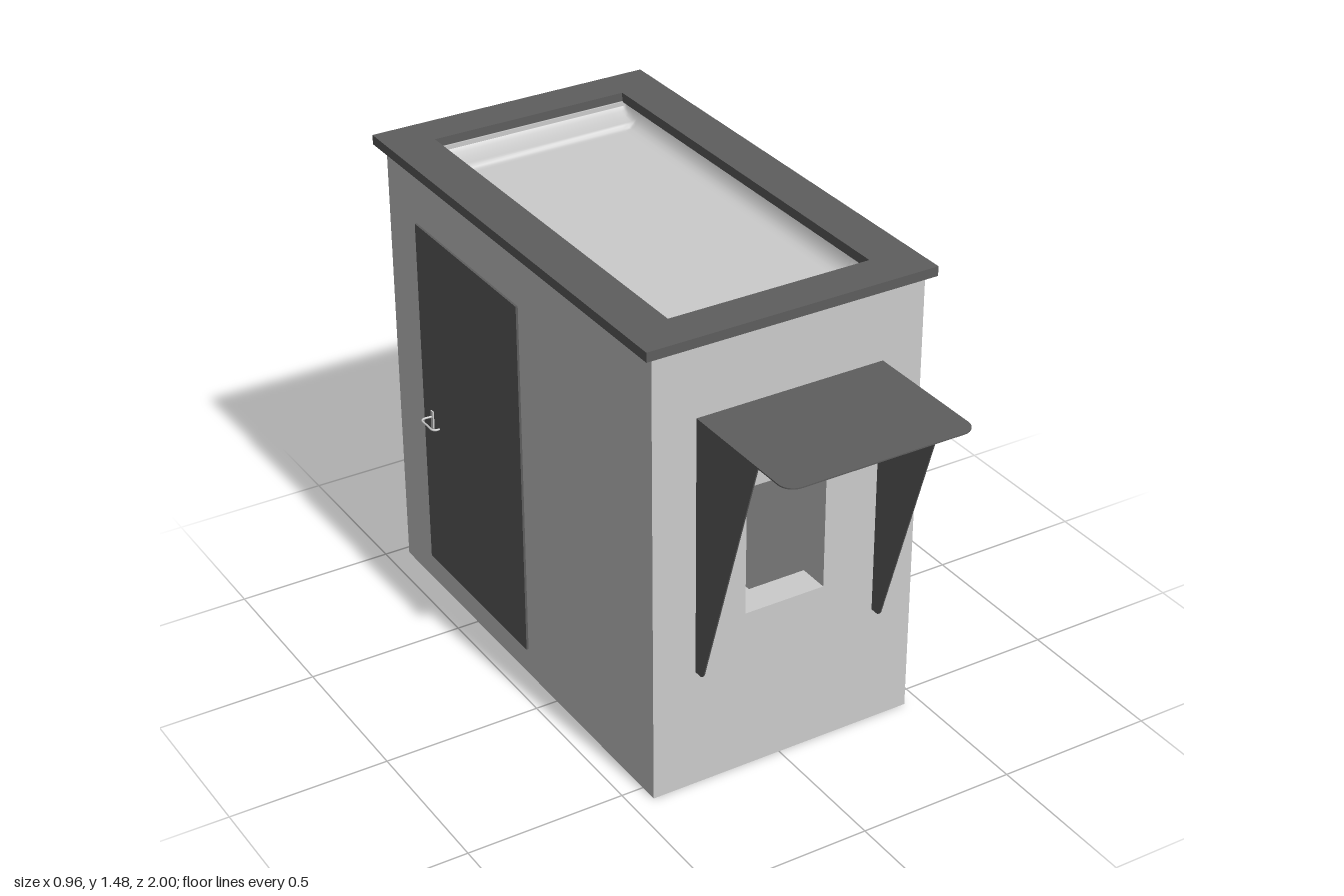
import * as THREE from 'three';

const grey = new THREE.MeshStandardMaterial({ color: 0xcccccc });
const dark = new THREE.MeshStandardMaterial({ color: 0x5e5e5e });
const greyThin = new THREE.MeshStandardMaterial({ color: 0xcccccc, side: THREE.DoubleSide });

function add(parent, name, geometry, material) {
  const mesh = new THREE.Mesh(geometry, material);
  mesh.name = name;
  parent.add(mesh);
  return mesh;
}

// Box given by its minimum and maximum on each axis
function box(parent, name, [x0, x1], [y0, y1], [z0, z1], material) {
  const g = new THREE.BoxGeometry(x1 - x0, y1 - y0, z1 - z0);
  g.translate((x0 + x1) / 2, (y0 + y1) / 2, (z0 + z1) / 2);
  return add(parent, name, g, material);
}

function rect(Type, x0, x1, y0, y1) {
  return new Type([[x0, y0], [x1, y0], [x1, y1], [x0, y1]].map(p => new THREE.Vector2(...p)));
}

const extrude = (shape, depth) =>
  new THREE.ExtrudeGeometry(shape, { depth, bevelEnabled: false, curveSegments: 8 });

export function createModel() {
  const model = new THREE.Group();
  const X = [-0.43, 0.45], Z = [-0.97, 0.56], top = 1.45, wall = 0.1;

  // Hollow body: front wall with the serving window, plain walls and floor
  const body = new THREE.Group();
  body.name = 'body';
  model.add(body);
  const front = rect(THREE.Shape, X[0], X[1], 0, top);
  front.holes.push(rect(THREE.Path, -0.125, 0.14, 0.53, 0.945));
  add(body, 'frontWall', extrude(front, wall).translate(0, 0, Z[1] - wall), grey);
  const innerZ = [Z[0] + wall, Z[1] - wall];
  box(body, 'backWall', X, [0, top], [Z[0], innerZ[0]], grey);
  box(body, 'rightWall', [X[0], X[0] + wall], [0, top], innerZ, grey);
  box(body, 'leftWall', [X[1] - wall, X[1]], [0, top], innerZ, grey);
  box(body, 'floor', [X[0] + wall, X[1] - wall], [0, 0.05], innerZ, grey);

  // Roof frame with a large opening
  const frame = rect(THREE.Shape, -0.46, 0.475, -1, 0.585);
  frame.holes.push(rect(THREE.Path, -0.315, 0.335, -0.875, 0.455));
  add(model, 'roofFrame', extrude(frame, 0.03).rotateX(Math.PI / 2).translate(0, 1.478, 0), dark);

  // Shallow roof tray: coved edges, with a small step at both ends.
  // Each pair is distance from the edge and drop below the frame.
  const ends = [[0, 0], [0.01, 0.014], [0.025, 0.024], [0.05, 0.032], [0.08, 0.036],
    [0.093, 0.037], [0.096, 0.047], [0.106, 0.05], [0.12, 0.05]];
  const sides = [[0, 0], [0.005, 0.014], [0.013, 0.028], [0.024, 0.04], [0.04, 0.048], [0.06, 0.05]];
  const mirrored = (profile, a, b) => [
    ...profile.map(([d, h]) => [a + d, h]),
    ...profile.map(([d, h]) => [b - d, h]).reverse()];
  const px = mirrored(sides, -0.325, 0.345), pz = mirrored(ends, -0.88, 0.46);
  const tray = new THREE.PlaneGeometry(1, 1, px.length - 1, pz.length - 1);
  pz.forEach(([z, hz], j) => px.forEach(([x, hx], i) =>
    tray.attributes.position.setXYZ(j * px.length + i, x, top - Math.min(hx, hz), z)));
  tray.computeVertexNormals();
  add(model, 'roofTray', tray, greyThin);

  // Canopy over the window: thin slab with rounded front corners
  const canopy = new THREE.Group();
  canopy.name = 'canopy';
  model.add(canopy);
  const x0 = -0.29, x1 = 0.318, r = 0.045;
  const slab = new THREE.Shape();
  slab.moveTo(x0, Z[1]);
  slab.lineTo(x1, Z[1]);
  slab.lineTo(x1, 1 - r);
  slab.absarc(x1 - r, 1 - r, r, 0, Math.PI / 2);
  slab.lineTo(x0 + r, 1);
  slab.absarc(x0 + r, 1 - r, r, Math.PI / 2, Math.PI);
  add(canopy, 'canopyTop', extrude(slab, 0.004).rotateX(Math.PI / 2).translate(0, 1.217, 0), dark);

  // Tapering side brackets, drawn in z and y
  const side = new THREE.Shape();
  side.moveTo(Z[1], 1.214);
  side.lineTo(Z[1], 0.39);
  side.lineTo(0.585, 0.39);
  side.quadraticCurveTo(0.602, 0.392, 0.608, 0.42);
  side.lineTo(0.86, 1.214);
  const bracket = extrude(side, 0.004).rotateY(-Math.PI / 2);
  for (const [name, x] of [['rightBracket', x0 + 0.004], ['leftBracket', x1]])
    add(canopy, name, bracket, dark).position.x = x;

  // Door on the right side with a lever handle
  box(model, 'door', [-0.437, X[0]], [0.09, 1.265], [-0.79, -0.17], dark);
  const handle = new THREE.Group();
  handle.name = 'doorHandle';
  model.add(handle);
  box(handle, 'handlePlate', [-0.442, -0.437], [0.587, 0.65], [-0.738, -0.724], grey);
  const lever = new THREE.CatmullRomCurve3([
    [-0.438, -0.732], [-0.468, -0.733], [-0.477, -0.726], [-0.478, -0.69],
    [-0.477, -0.66], [-0.468, -0.652], [-0.458, -0.652],
  ].map(([x, z]) => new THREE.Vector3(x, 0.63, z)));
  add(handle, 'handleLever', new THREE.TubeGeometry(lever, 32, 0.0035, 8), grey);
  const cap = new THREE.SphereGeometry(0.0035, 8, 6).translate(-0.458, 0.63, -0.652);
  add(handle, 'handleTip', cap, grey);

  return model;
}
